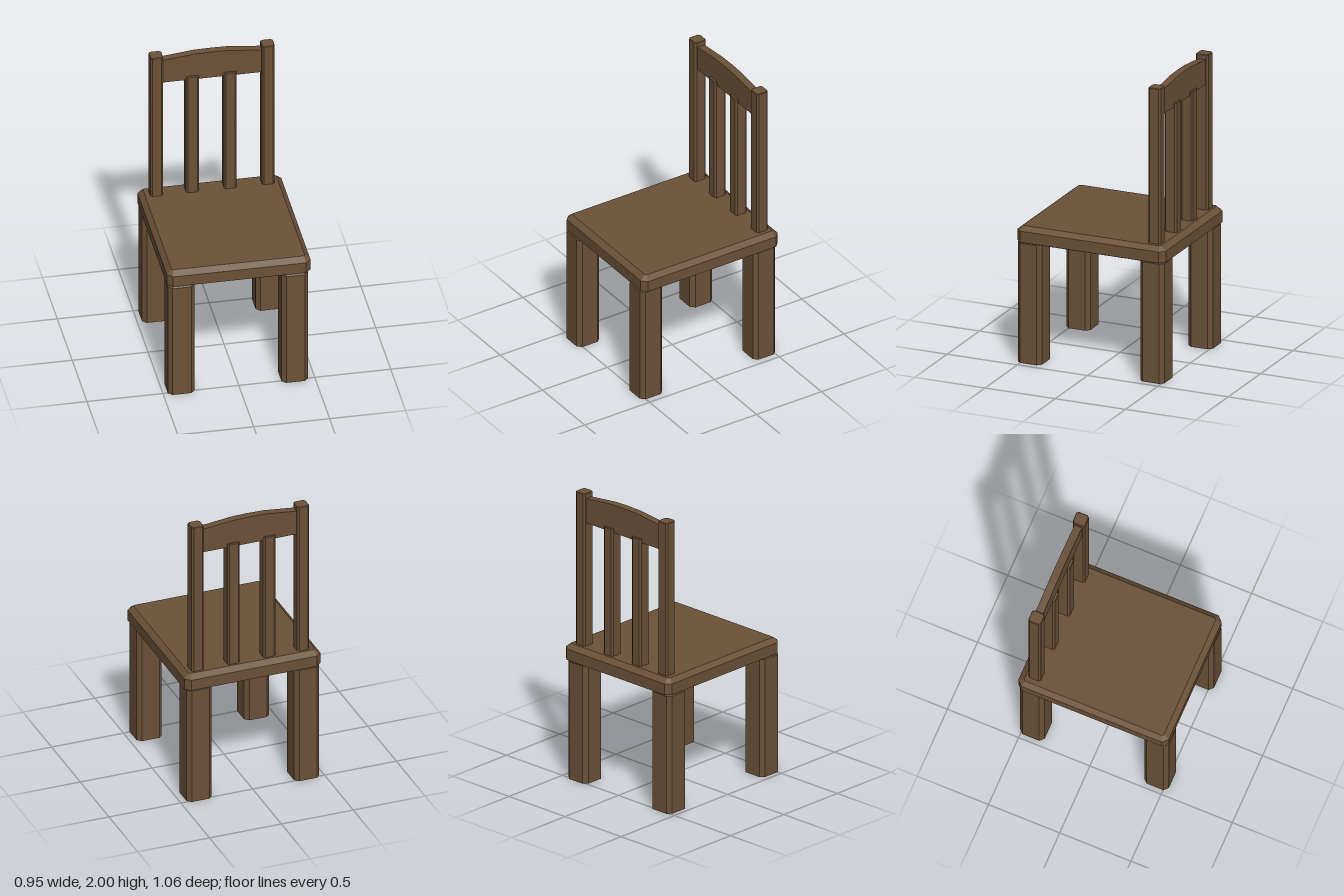
import * as THREE from 'three';

const wood = new THREE.MeshStandardMaterial({ color: 0x6b5138, flatShading: true });

// Rectangle with cut corners at height y
function ring(x0, x1, z0, z1, y, cut) {
  return [
    [x1, z0 + cut], [x1, z1 - cut], [x1 - cut, z1], [x0 + cut, z1],
    [x0, z1 - cut], [x0, z0 + cut], [x0 + cut, z0], [x1 - cut, z0],
  ].map(([x, z]) => new THREE.Vector3(x, y, z));
}

// Closed solid through a stack of rings, lowest first
function loft(name, rings) {
  const points = [];
  const n = rings[0].length;
  const low = rings[0], high = rings[rings.length - 1];
  for (let j = 0; j < n; j++) {
    const k = (j + 1) % n;
    for (let i = 0; i < rings.length - 1; i++) {
      const a = rings[i][j], b = rings[i][k], c = rings[i + 1][k], d = rings[i + 1][j];
      points.push(a, d, c, a, c, b);
    }
    if (j > 0 && k > 0) {
      points.push(low[0], low[j], low[k]);
      points.push(high[0], high[k], high[j]);
    }
  }
  const geometry = new THREE.BufferGeometry().setFromPoints(points);
  geometry.computeVertexNormals();
  const mesh = new THREE.Mesh(geometry, wood);
  mesh.name = name;
  return mesh;
}

// Upright bar with cut corners and a slightly bevelled top
function bar(name, x0, x1, z0, z1, y0, y1, cut, bevel) {
  return loft(name, [
    ring(x0, x1, z0, z1, y0, cut),
    ring(x0, x1, z0, z1, y1 - bevel, cut),
    ring(x0 + bevel, x1 - bevel, z0 + bevel, z1 - bevel, y1, cut),
  ]);
}

export function createModel() {
  const chair = new THREE.Group();
  chair.name = 'chair';

  // Seat slab with bevelled rim
  chair.add(loft('seat', [
    ring(-0.45, 0.45, -0.505, 0.505, 0.822, 0.03),
    ring(-0.473, 0.473, -0.528, 0.528, 0.832, 0.035),
    ring(-0.473, 0.473, -0.528, 0.528, 0.908, 0.035),
    ring(-0.44, 0.438, -0.49, 0.49, 0.938, 0.01),
  ]));

  // Four stout legs
  for (const [side, x] of [['right', -0.38], ['left', 0.368]]) {
    for (const [end, z] of [['Front', 0.443], ['Back', -0.428]]) {
      chair.add(bar(side + end + 'Leg', x - 0.088, x + 0.088, z - 0.086, z + 0.086, 0, 0.83, 0.027, 0.012));
    }
  }

  // Back posts and slats
  for (const [name, x, top] of [
    ['rightPost', -0.365, 2], ['rightSlat', -0.13, 1.825],
    ['leftSlat', 0.12, 1.825], ['leftPost', 0.37, 2],
  ]) {
    chair.add(bar(name, x - 0.042, x + 0.042, -0.475, -0.388, 0.92, top, 0.012, 0.003));
  }

  // Arched top rail
  const arch = new THREE.Shape();
  arch.moveTo(-0.34, 1.797);
  arch.lineTo(0.34, 1.797);
  for (const [x, y] of [[0.34, 1.965], [0.11, 1.99], [0, 1.992], [-0.11, 1.99], [-0.34, 1.965]]) {
    arch.lineTo(x, y);
  }
  const rail = new THREE.Mesh(
    new THREE.ExtrudeGeometry(arch, { depth: 0.052, bevelEnabled: false }), wood);
  rail.position.z = -0.458;
  rail.name = 'topRail';
  chair.add(rail);

  return chair;
}
